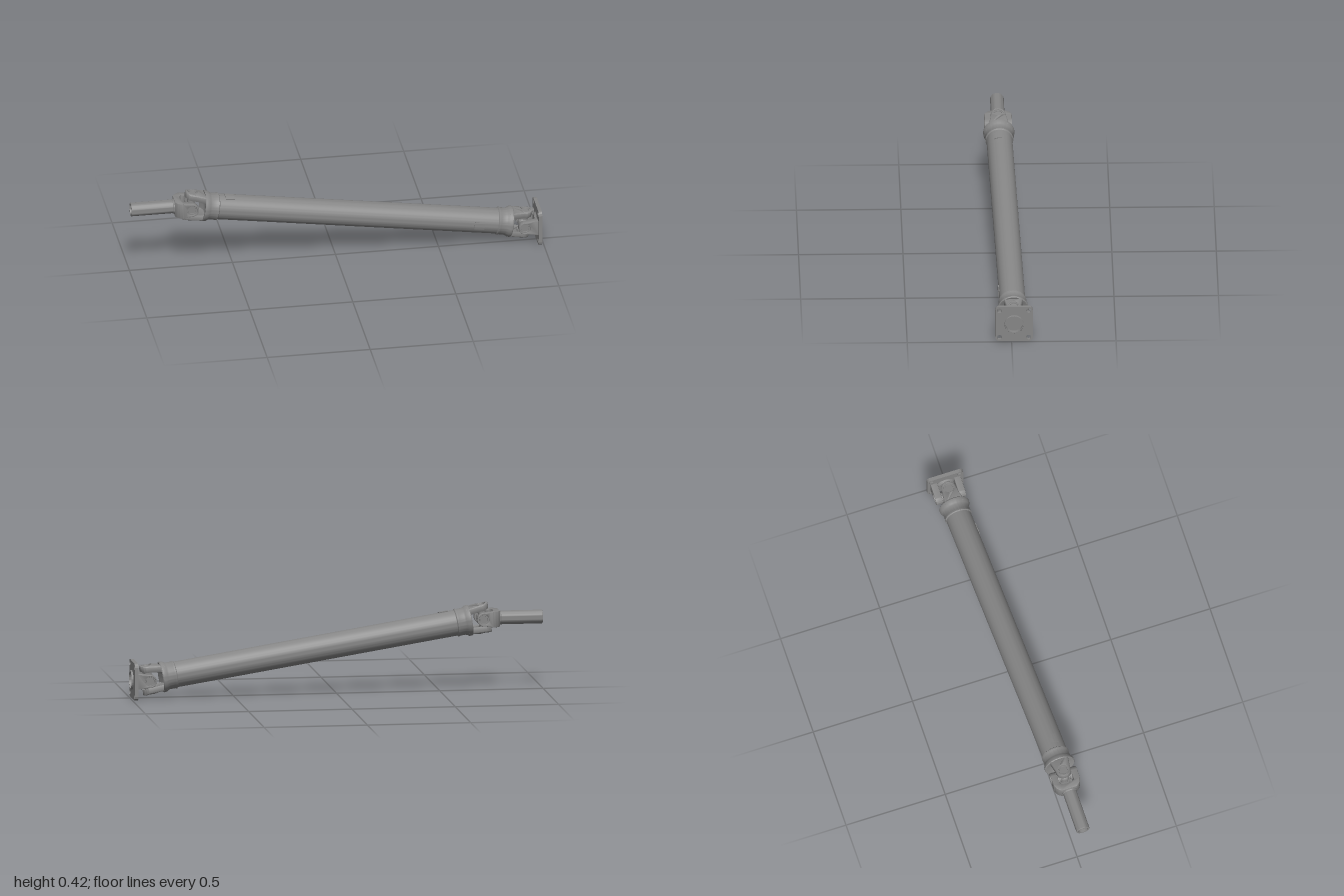
import * as THREE from 'three';
import { toCreasedNormals } from 'three/addons/utils/BufferGeometryUtils.js';

const steel = new THREE.MeshStandardMaterial({ color: 0x868686 });
steel.name = 'steel grey';

function add(parent, name, geometry) {
  const mesh = new THREE.Mesh(toCreasedNormals(geometry, 0.6), steel);
  mesh.name = name;
  parent.add(mesh);
  return mesh;
}

function group(parent, name) {
  const g = new THREE.Group();
  g.name = name;
  parent.add(g);
  return g;
}

// Turned part around the x axis; profile is [x, radius] pairs
function turned(profile, segments = 48) {
  const pts = profile.map(([x, r]) => new THREE.Vector2(r, x));
  return new THREE.LatheGeometry(pts, segments).rotateZ(-Math.PI / 2);
}

// Pair of yoke ears on +z and -z: pin at the origin, root at +x
function ears(parent, { tip, root, length, inner, outer, sag = 0 }) {
  const shape = new THREE.Shape();
  shape.moveTo(length, -root);
  shape.lineTo(length, root);
  shape.lineTo(length * 0.65, root * 0.95);
  shape.lineTo(0.008, tip);
  shape.absarc(0, 0, tip, Math.PI / 2, Math.PI * 1.5, false);
  shape.lineTo(0.008, -tip);
  shape.lineTo(length * 0.65, -root * 0.95);
  const hole = new THREE.Path();
  hole.absarc(0, 0, 0.024, 0, Math.PI * 2, true);
  shape.holes.push(hole);
  const b = 0.003;
  for (const side of [0, 1]) {
    const g = new THREE.ExtrudeGeometry(shape, {
      depth: outer - inner - 2 * b, bevelThickness: b, bevelSize: b, bevelOffset: -b,
      bevelSegments: 2, curveSegments: 20,
    }).translate(0, 0, inner + b);
    // Wrap the ear around the shaft axis
    if (sag) {
      const p = g.attributes.position;
      for (let i = 0; i < p.count; i++) {
        const y = p.getY(i);
        p.setZ(i, p.getZ(i) + Math.sqrt(sag * sag - y * y) - sag);
      }
    }
    if (side) g.rotateX(Math.PI);
    add(parent, 'yokeEar', g);
    // Bearing cup with a rimmed, slightly sunken face
    const cup = turned([
      [0.02, 0], [0.02, 0.018], [inner - 0.008, 0.018], [inner - 0.008, 0.0245],
      [outer - 0.006, 0.0245], [outer - 0.006, 0.019], [outer - 0.01, 0.018], [outer - 0.01, 0],
    ], 28).rotateY(side ? Math.PI / 2 : -Math.PI / 2);
    add(parent, 'bearingCup', cup);
  }
}

// Cross journal joining two yokes
function cross(parent, position) {
  const g = group(parent, 'universalJointCross');
  g.position.copy(position);
  add(g, 'crossHub', new THREE.SphereGeometry(0.026, 24, 16));
  add(g, 'crossPinVertical', new THREE.CylinderGeometry(0.016, 0.016, 0.1, 20));
  add(g, 'crossPinSideways', new THREE.CylinderGeometry(0.016, 0.016, 0.1, 20).rotateX(Math.PI / 2));
}

// Curved balance plate on the tube, centred on an angle around x
function weight(parent, x, angle, length, halfArc) {
  const s = new THREE.Shape();
  s.absarc(0, 0, 0.066, -halfArc, halfArc, false);
  s.absarc(0, 0, 0.06, halfArc, -halfArc, true);
  const g = new THREE.ExtrudeGeometry(s, { depth: length, bevelEnabled: false, curveSegments: 10 });
  g.rotateY(Math.PI / 2).rotateX(angle).translate(x, 0, 0);
  add(parent, 'balanceWeight', g);
}

export function createModel() {
  const model = new THREE.Group();
  model.name = 'driveShaft';
  const A = new THREE.Vector3(-0.71, 0.345, 0.03);
  const B = new THREE.Vector3(0.912, 0.091, -0.012);
  const L = A.distanceTo(B);
  cross(model, A);
  cross(model, B);

  // Main shaft, local x running from joint to joint
  const shaft = group(model, 'mainShaft');
  shaft.position.copy(A);
  shaft.quaternion.setFromUnitVectors(new THREE.Vector3(1, 0, 0), B.clone().sub(A).normalize());
  add(shaft, 'tube', new THREE.CylinderGeometry(0.062, 0.062, L - 0.24, 64)
    .rotateZ(Math.PI / 2).translate(L / 2, 0, 0));
  for (const end of [0, 1]) {
    const yoke = group(shaft, 'tubeYoke');
    yoke.position.x = end * L;
    yoke.rotation.y = end * Math.PI;
    const earPair = group(yoke, 'tubeYokeEars');
    earPair.rotation.x = Math.PI / 2;
    ears(earPair, { tip: 0.036, root: 0.046, length: 0.08, inner: 0.045, outer: 0.074, sag: 0.075 });
    add(yoke, 'collar', turned([
      [0.075, 0], [0.072, 0.035], [0.062, 0.06], [0.06, 0.072], [0.064, 0.075], [0.076, 0.074],
      [0.086, 0.068], [0.094, 0.065], [0.12, 0.065], [0.123, 0.067], [0.129, 0.067], [0.133, 0.062],
    ], 64));
  }
  weight(shaft, 0.16, 1.75, 0.045, 0.32);
  weight(shaft, L - 0.25, 3.2, 0.05, 0.32);

  // Hollow stub shaft with its forked yoke
  const stub = group(model, 'stubShaft');
  stub.position.copy(A);
  stub.rotation.y = Math.PI;
  ears(stub, { tip: 0.033, root: 0.038, length: 0.045, inner: 0.036, outer: 0.066 });
  const u = new THREE.Shape();
  u.moveTo(0.04, 0.065);
  u.quadraticCurveTo(0.068, 0.062, 0.08, 0.036);
  u.lineTo(0.08, -0.036);
  u.quadraticCurveTo(0.068, -0.062, 0.04, -0.065);
  u.lineTo(0.04, -0.037);
  u.quadraticCurveTo(0.05, -0.025, 0.05, 0);
  u.quadraticCurveTo(0.05, 0.025, 0.04, 0.037);
  add(stub, 'stubYokeBridge', new THREE.ExtrudeGeometry(u, {
    depth: 0.07, bevelThickness: 0.004, bevelSize: 0.003, bevelOffset: -0.003, bevelSegments: 2,
  }).translate(0, 0, -0.035).rotateX(Math.PI / 2));
  add(stub, 'stubTube', turned([
    [0.06, 0], [0.06, 0.036], [0.084, 0.036], [0.088, 0.033], [0.288, 0.033], [0.29, 0.031],
    [0.29, 0.025], [0.2, 0.025], [0.2, 0],
  ]));

  // Bolt flange with its yoke
  const flange = group(model, 'flangeYoke');
  flange.position.copy(B);
  ears(flange, { tip: 0.031, root: 0.038, length: 0.068, inner: 0.042, outer: 0.075 });
  const h = 0.09, r = 0.02;
  const plate = new THREE.Shape();
  plate.absarc(h - r, h - r, r, 0, Math.PI / 2, false);
  plate.absarc(r - h, h - r, r, Math.PI / 2, Math.PI, false);
  plate.absarc(r - h, r - h, r, Math.PI, Math.PI * 1.5, false);
  plate.absarc(h - r, r - h, r, Math.PI * 1.5, Math.PI * 2, false);
  const holes = [[0, 0, 0.044]];
  for (const sx of [-1, 1]) for (const sy of [-1, 1]) holes.push([sx * 0.07, sy * 0.07, 0.012]);
  for (const [x, y, radius] of holes) {
    const p = new THREE.Path();
    p.absarc(x, y, radius, 0, Math.PI * 2, true);
    plate.holes.push(p);
  }
  add(flange, 'flangePlate', new THREE.ExtrudeGeometry(plate, {
    depth: 0.017, bevelEnabled: false, curveSegments: 24,
  }).rotateY(Math.PI / 2).translate(0.062, 0, 0));
  add(flange, 'pilotRing', turned([
    [0.052, 0], [0.052, 0.036], [0.062, 0.046], [0.086, 0.046], [0.088, 0.045],
    [0.088, 0.041], [0.066, 0.041], [0.066, 0],
  ]));
  return model;
}
